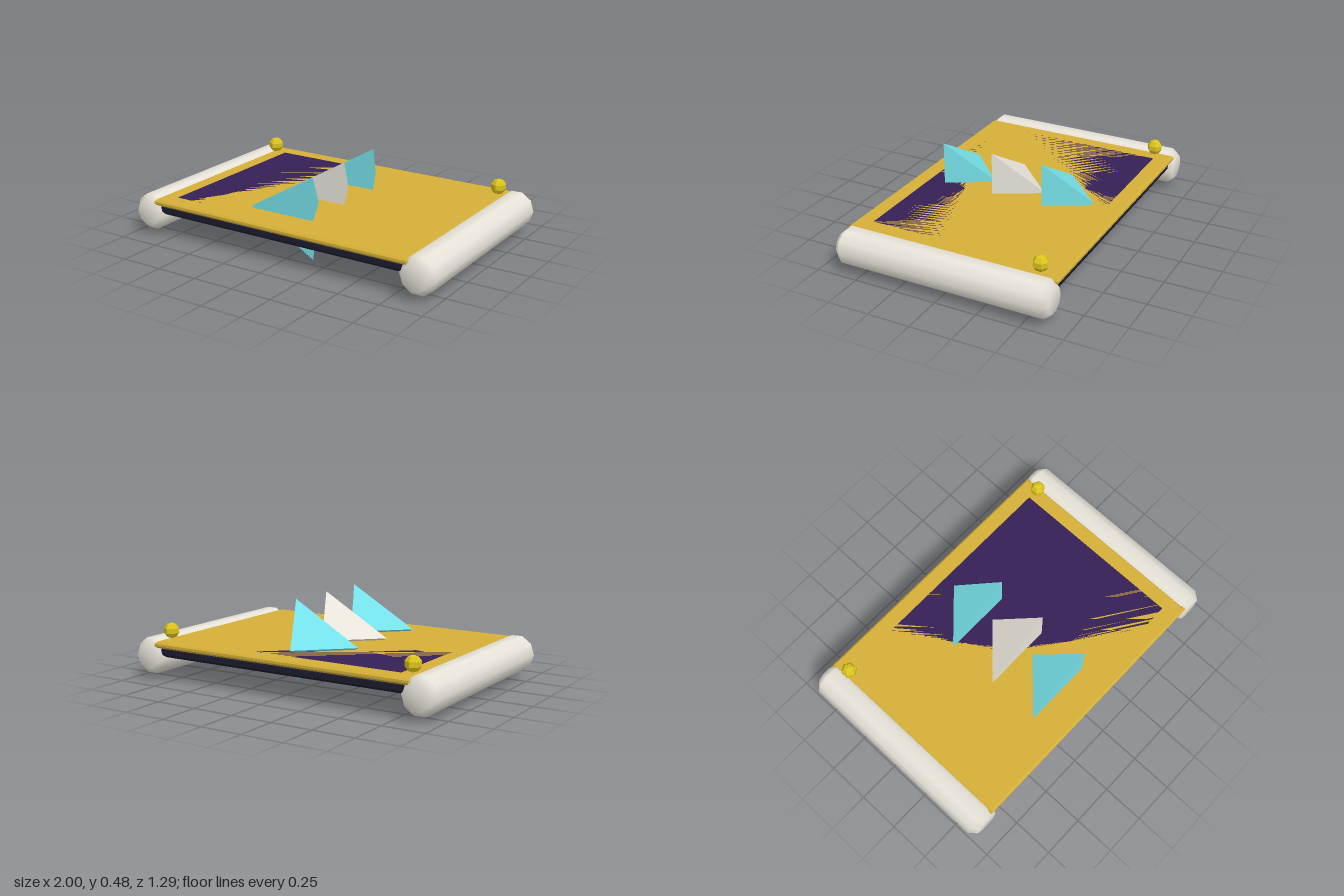
import * as THREE from 'three';

const paint = (name, color) => {
  const m = new THREE.MeshStandardMaterial({ color });
  m.name = name;
  return m;
};

// Rectangular plate with chamfered edges; its top lies at local y = 0
function bevelPlate(w, h, d, b) {
  const x = w / 2 - b, z = d / 2 - b;
  const shape = new THREE.Shape([[-x, -z], [x, -z], [x, z], [-x, z]].map(p => new THREE.Vector2(...p)));
  const g = new THREE.ExtrudeGeometry(shape, {
    depth: h - 2 * b, bevelThickness: b, bevelSize: b, bevelSegments: 1,
  });
  return g.translate(0, 0, -(h - b)).rotateX(-Math.PI / 2);
}

function faceted(geometry) {
  const g = geometry.index ? geometry.toNonIndexed() : geometry;
  g.computeVertexNormals();
  return g;
}

export function createModel() {
  const model = new THREE.Group();
  model.name = 'spikedPlatform';

  const gold = paint('gold', 0xd4af37);
  const purple = paint('purple', 0x361f57);
  const navy = paint('navy', 0x1a1a2e);
  const ivory = paint('ivory', 0xe8e4d9);
  const cyan = paint('cyan', 0x76e0e8);
  const yellow = paint('yellow', 0xdcc41c);

  const add = (name, geometry, material, x, y, z) => {
    const mesh = new THREE.Mesh(geometry, material);
    mesh.name = name;
    mesh.position.set(x, y, z);
    model.add(mesh);
    return mesh;
  };

  // Deck: gold plate, flush purple inlay, dark slab below
  const deckTop = 0.236;
  add('deckPlate', bevelPlate(1.68, 0.038, 1.28, 0.012), gold, 0, deckTop, 0);
  add('deckInlay', new THREE.BoxGeometry(1.49, 0.02, 1.08).translate(0, -0.01, 0), purple, 0, deckTop, 0);
  add('underSlab', bevelPlate(1.64, 0.058, 1.24, 0.014), navy, 0, 0.203, 0);

  // Side rollers with chamfered ends
  const profile = [[0, -0.645], [0.075, -0.645], [0.11, -0.605], [0.11, 0.605], [0.075, 0.645], [0, 0.645]]
    .map(p => new THREE.Vector2(...p));
  const roller = new THREE.LatheGeometry(profile, 10, Math.PI / 2).rotateX(Math.PI / 2);

  // Small faceted knobs near the back corners
  const knob = faceted(new THREE.SphereGeometry(0.047, 6, 5).rotateY(Math.PI / 2));

  for (const [side, s] of [['left', 1], ['right', -1]]) {
    add(side + 'Roller', roller, ivory, s * 0.89, 0.143, 0);
    add(side + 'Knob', knob, yellow, s * 0.805, 0.288, -0.525);
  }

  // Row of three-sided spikes pointing backwards through the deck
  const length = 0.265;
  const spike = faceted(
    new THREE.ConeGeometry(0.28, length, 3, 1, false, -Math.PI / 2)
      .rotateX(-Math.PI / 2)
      .translate(0, 0, -length / 2)
  );
  [['frontSpike', cyan, 0.44], ['middleSpike', ivory, 0.12], ['backSpike', cyan, -0.2]]
    .forEach(([name, material, z]) => add(name, spike, material, 0, 0.2475, z));

  return model;
}
